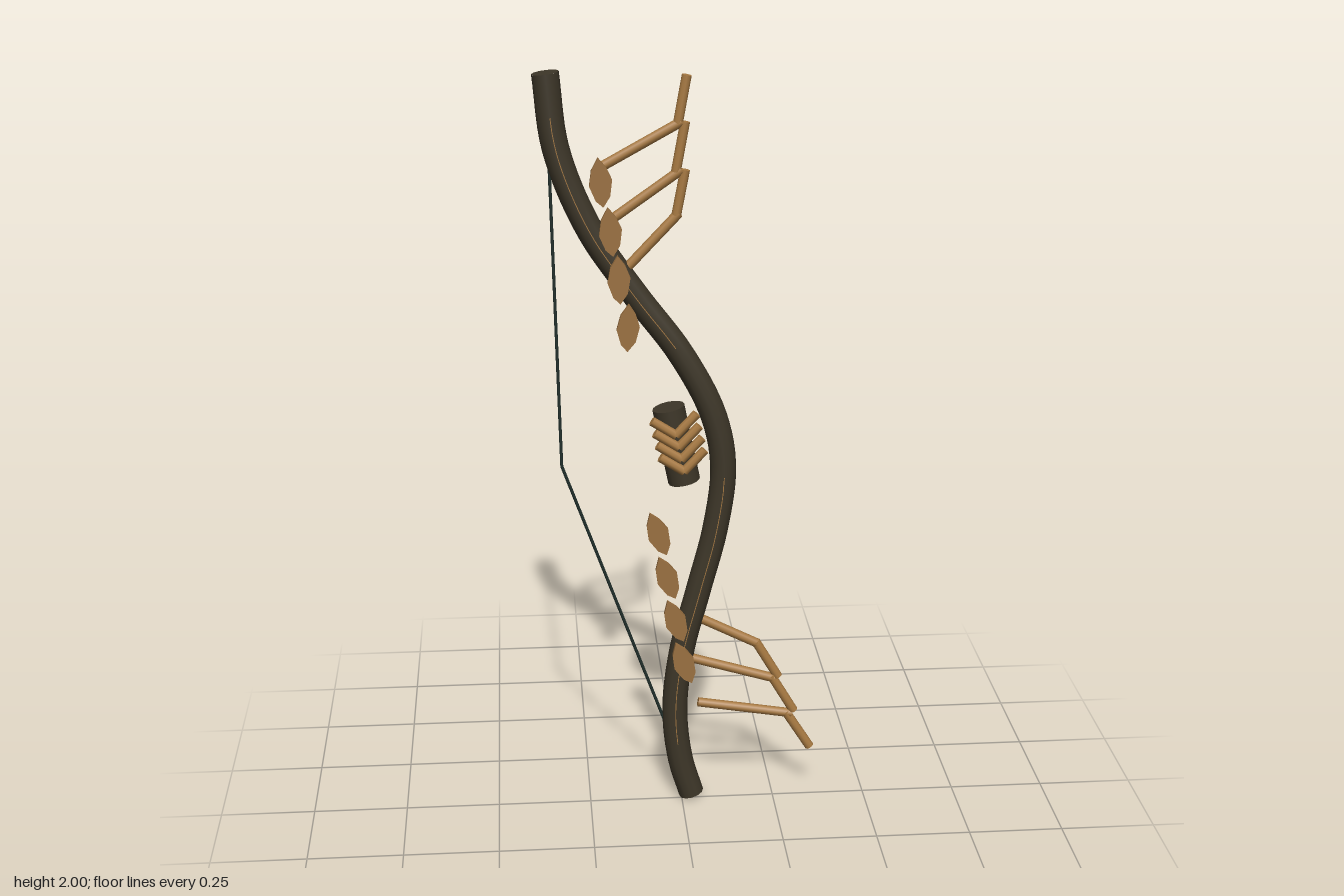
import * as THREE from 'three';

const Z = -0.013; // mid plane of the bow
const mat = (name, color, side = THREE.FrontSide) => {
  const m = new THREE.MeshStandardMaterial({ color, side });
  m.name = name;
  return m;
};

export function createModel() {
  const root = new THREE.Group();
  root.name = 'bow';
  const bark = mat('dark bark', 0x3d3628);
  const gold = mat('golden wood', 0xa87a42);
  const leafMat = mat('leaf brown', 0x9a7040);
  const cord = mat('dark cord', 0x1f2e2a);

  const add = (name, geo, material, parent = root) => {
    const m = new THREE.Mesh(geo, material);
    m.name = name;
    parent.add(m);
    return m;
  };
  const group = (name) => {
    const g = new THREE.Group();
    g.name = name;
    root.add(g);
    return g;
  };
  // straight rod between two points in a plane of constant z
  const rod = (name, [x1, y1, x2, y2], r, z, material, parent, sides = 10) => {
    const a = new THREE.Vector3(x1, y1, z), b = new THREE.Vector3(x2, y2, z);
    const d = b.clone().sub(a);
    const m = add(name, new THREE.CylinderGeometry(r, r, d.length(), sides), material, parent);
    m.position.copy(a).add(b).multiplyScalar(0.5);
    m.quaternion.setFromUnitVectors(new THREE.Vector3(0, 1, 0), d.normalize());
    return m;
  };

  // curved limb
  const spine = [
    [-0.333, 2.0], [-0.31, 1.81], [-0.232, 1.61], [-0.12, 1.44], [0, 1.275], [0.083, 1.11],
    [0.109, 0.97], [0.09, 0.8], [0.045, 0.62], [0.0, 0.44], [-0.018, 0.27], [-0.003, 0.12], [0.027, 0.015],
  ].map(([x, y]) => new THREE.Vector3(x, y, Z));
  const curve = new THREE.CatmullRomCurve3(spine);
  const R = 0.034;
  add('limb', new THREE.TubeGeometry(curve, 80, R, 12), bark);
  for (const [t, s] of [[0, -1], [1, 1]]) {
    const cap = add('limbEnd', new THREE.CircleGeometry(R, 12), bark);
    cap.position.copy(curve.getPointAt(t));
    cap.quaternion.setFromUnitVectors(new THREE.Vector3(0, 0, 1), curve.getTangentAt(t).multiplyScalar(s));
  }

  // fine inlaid veins on the front of the limb
  for (const [t0, t1] of [[0.05, 0.37], [0.55, 0.92]]) {
    const pts = [];
    for (let i = 0; i <= 16; i++) {
      const p = curve.getPointAt(t0 + (t1 - t0) * i / 16);
      p.z += R - 0.003;
      pts.push(p);
    }
    add('vein', new THREE.TubeGeometry(new THREE.CatmullRomCurve3(pts), 40, 0.0035, 5), gold);
  }

  // drawn string
  const string = group('string');
  rod('upperString', [-0.328, 1.79, -0.311, 0.98], 0.0045, Z, cord, string, 6);
  rod('lowerString', [-0.311, 0.98, -0.033, 0.2], 0.0045, Z, cord, string, 6);

  // grip with chevron binding
  const grip = group('grip');
  rod('gripCore', [-0.034, 1.135, 0.007, 0.932], 0.042, Z, bark, grip, 16);
  for (let i = 0; i < 4; i++) {
    const x = -0.018 + i * 0.007, y = 1.075 - i * 0.033;
    rod('chevronLeft', [x, y, x + 0.053, y + 0.057], 0.0125, 0.038, gold, grip, 8);
    rod('chevronRight', [x, y, x - 0.062, y + 0.04], 0.0125, 0.038, gold, grip, 8);
  }

  // branching twigs
  const upper = group('upperTwigs');
  [
    [-0.2, 1.765, 0.0, 1.875], [-0.185, 1.625, 0.0, 1.755], [-0.135, 1.51, -0.007, 1.645],
    [0.013, 1.99, -0.009, 1.87], [0.009, 1.875, -0.014, 1.75], [0.009, 1.755, -0.013, 1.64],
  ].forEach((p) => rod('twig', p, 0.0125, Z, gold, upper));
  const lower = group('lowerTwigs');
  [
    [0.045, 0.54, 0.205, 0.458], [0.025, 0.422, 0.252, 0.353], [0.045, 0.289, 0.3, 0.246],
    [0.2, 0.464, 0.262, 0.358], [0.243, 0.362, 0.306, 0.254], [0.284, 0.252, 0.352, 0.143],
  ].forEach((p) => rod('twig', p, 0.0125, Z, gold, lower));

  // flat angular leaves, [x, y, tilt]
  const shape = new THREE.Shape([
    [0, 0.062], [-0.02, 0.032], [-0.029, -0.006], [-0.017, -0.044], [0, -0.062],
    [0.02, -0.036], [0.029, 0.004], [0.018, 0.036],
  ].map(([x, y]) => new THREE.Vector2(x, y)));
  const leafGeo = new THREE.ExtrudeGeometry(shape, { depth: 0.014, bevelEnabled: false });
  const leaves = group('leaves');
  [
    [-0.203, 1.735, 0.1], [-0.18, 1.61, 0.1], [-0.16, 1.487, 0.05], [-0.138, 1.362, -0.04],
    [-0.064, 0.8, 0.36], [-0.041, 0.675, 0.36], [-0.019, 0.55, 0.36], [0.003, 0.427, 0.36],
  ].forEach(([x, y, tilt]) => {
    const leaf = add('leaf', leafGeo, leafMat, leaves);
    leaf.position.set(x, y, 0.021);
    leaf.rotation.z = tilt;
  });

  return root;
}
